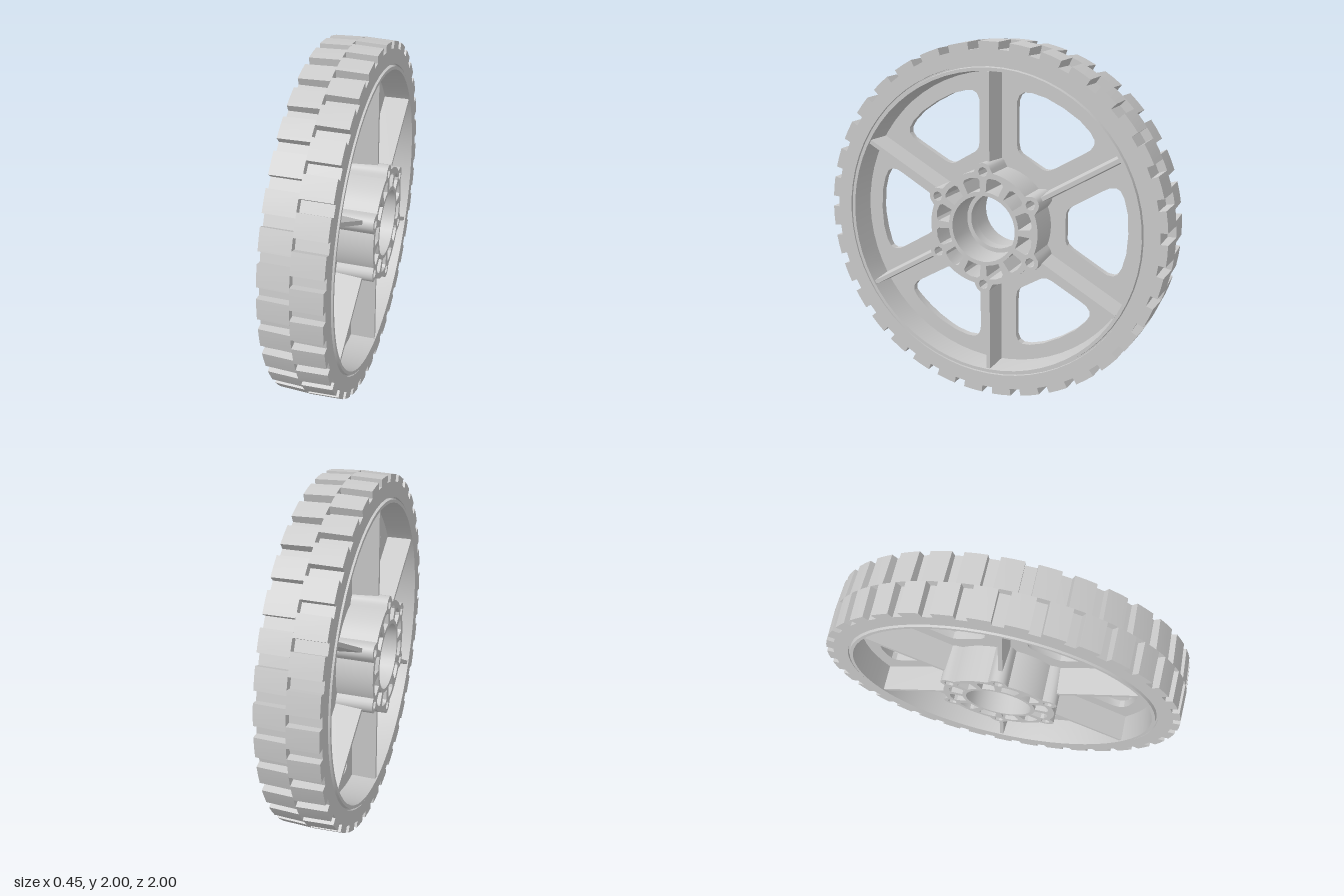
import * as THREE from 'three';
import { toCreasedNormals } from 'three/addons/utils/BufferGeometryUtils.js';

const RAD = Math.PI / 180;
const polar = (r, a, cx = 0, cy = 0) => new THREE.Vector2(cx + r * Math.cos(a), cy + r * Math.sin(a));
const ring = (r, n, cx = 0, cy = 0) =>
  Array.from({ length: n }, (_, i) => polar(r, (i / n) * 2 * Math.PI, cx, cy));
const turn = (pts, a) => pts.map((p) => p.clone().rotateAround(new THREE.Vector2(), a));

// Extrudes an outline with holes from z0 to z1 along the axle
function slab(outline, holes, z0, z1) {
  const shape = new THREE.Shape(outline);
  for (const h of holes) shape.holes.push(new THREE.Path(h));
  const g = new THREE.ExtrudeGeometry(shape, { depth: z1 - z0, bevelEnabled: false });
  g.translate(0, 0, z0);
  return g;
}

export function createModel() {
  const model = new THREE.Group();
  model.name = 'wheel';
  const wheel = new THREE.Group(); // built with its axle along z, then turned onto x
  wheel.name = 'wheelAssembly';
  wheel.rotation.y = Math.PI / 2;
  wheel.position.y = 1;
  model.add(wheel);
  const material = new THREE.MeshStandardMaterial({ color: 0xcccccc });
  const add = (name, geometry, crease = 0.4) => {
    const mesh = new THREE.Mesh(toCreasedNormals(geometry, crease), material);
    mesh.name = name;
    wheel.add(mesh);
    return mesh;
  };

  // Tyre: two toothed rings, staggered by half a pitch
  const TEETH = 35, PITCH = 360 / TEETH, NOTCH = 3.6;
  const treadRow = (phase) => {
    const pts = [];
    for (let i = 0; i < TEETH; i++) {
      const a = phase + i * PITCH;
      const n0 = (a - NOTCH / 2) * RAD, n1 = (a + NOTCH / 2) * RAD;
      const end = (a + PITCH - NOTCH / 2) * RAD;
      pts.push(polar(0.955, n0), polar(0.955, n1), polar(1, n1), polar(1, (n1 + end) / 2), polar(1, end));
    }
    return pts;
  };
  for (const side of [1, -1]) {
    const phase = 94.7 + (side > 0 ? 0 : PITCH / 2);
    const g = slab(treadRow(phase), [ring(0.873, 64)], side > 0 ? 0 : -0.165, side > 0 ? 0.165 : 0);
    // crown the tread slightly towards the shoulders
    const p = g.attributes.position;
    for (let i = 0; i < p.count; i++) {
      const r = Math.hypot(p.getX(i), p.getY(i));
      if (r > 0.97 && Math.abs(p.getZ(i)) > 0.1) p.setXY(i, p.getX(i) * 0.994, p.getY(i) * 0.994);
    }
    add(side > 0 ? 'treadLeft' : 'treadRight', g, 0.15);
  }

  // Rim: drafted inner wall, raised lip and a narrow groove beside the tyre
  const rimProfile = [
    [0.88, -0.15], [0.88, 0.15], [0.865, 0.15], [0.861, 0.172], [0.843, 0.172], [0.832, 0],
    [0.843, -0.172], [0.861, -0.172], [0.865, -0.15], [0.88, -0.15],
  ].map(([r, y]) => new THREE.Vector2(r, y));
  add('rim', new THREE.LatheGeometry(rimProfile, 64).rotateX(Math.PI / 2));

  // Bolt holes shared by the web and the hub
  const BOSS = 0.315;
  const bossAngles = Array.from({ length: 6 }, (_, i) => (30 + 60 * i) * RAD);
  const boltHoles = bossAngles.map((a) => {
    const c = polar(BOSS, a);
    return ring(0.027, 8, c.x, c.y);
  });

  // Web: thin disc with six rounded windows
  const halfWindow = [[0.4, 0.075], [0.41, 0.1], [0.435, 0.122], [0.6, 0.219], [0.64, 0.24],
    [0.675, 0.244], [0.7, 0.23], [0.722, 0.19], [0.743, 0.11]];
  const windowPts = [
    ...halfWindow.map(([x, y]) => new THREE.Vector2(x, y)),
    new THREE.Vector2(0.75, 0),
    ...halfWindow.slice().reverse().map(([x, y]) => new THREE.Vector2(x, -y)),
  ];
  const windows = bossAngles.map((_, i) => turn(windowPts, i * 60 * RAD));
  add('web', slab(ring(0.84, 64), [ring(0.16, 32), ...windows, ...boltHoles], -0.02, 0.02));

  // Hub outline: a drum that swells around each bolt boss
  const hubOutline = Array.from({ length: 180 }, (_, i) => {
    const a = i * 2 * RAD;
    const off = ((i * 2) % 60 - 30) * RAD;
    const q = 0.048 ** 2 - (BOSS * Math.sin(off)) ** 2;
    return polar(q > 0 ? Math.max(BOSS, BOSS * Math.cos(off) + Math.sqrt(q)) : BOSS, a);
  });
  const pockets = Array.from({ length: 12 }, (_, i) => {
    const a = (15 + 30 * i) * RAD, w = 10.5 * RAD;
    return [polar(0.207, a - w), polar(0.27, a - w), polar(0.283, a - w * 0.75), polar(0.287, a),
      polar(0.283, a + w * 0.75), polar(0.27, a + w), polar(0.207, a + w), polar(0.207, a)];
  });
  for (const side of [1, -1]) {
    const g = slab(hubOutline, [ring(0.185, 32), ...pockets, ...boltHoles],
      side > 0 ? 0.02 : -0.225, side > 0 ? 0.225 : -0.02);
    add(side > 0 ? 'hubLeft' : 'hubRight', g, 0.6);
  }
  add('bearingStop', slab(ring(0.188, 32), [ring(0.16, 32)], -0.035, 0.035));

  // Spoke ribs: thin blades standing on both faces of the web, tapering outwards
  for (const side of [1, -1]) {
    for (const a of bossAngles) {
      const g = new THREE.BoxGeometry(0.49, 0.045, 0.15);
      const p = g.attributes.position;
      for (let i = 0; i < p.count; i++) {
        if (p.getZ(i) * side > 0) p.setY(i, p.getY(i) * 0.5);
      }
      g.computeVertexNormals();
      g.translate(0.595, 0, side * 0.09);
      g.rotateZ(a);
      add('spokeRib', g, 0.1);
    }
  }
  return model;
}
